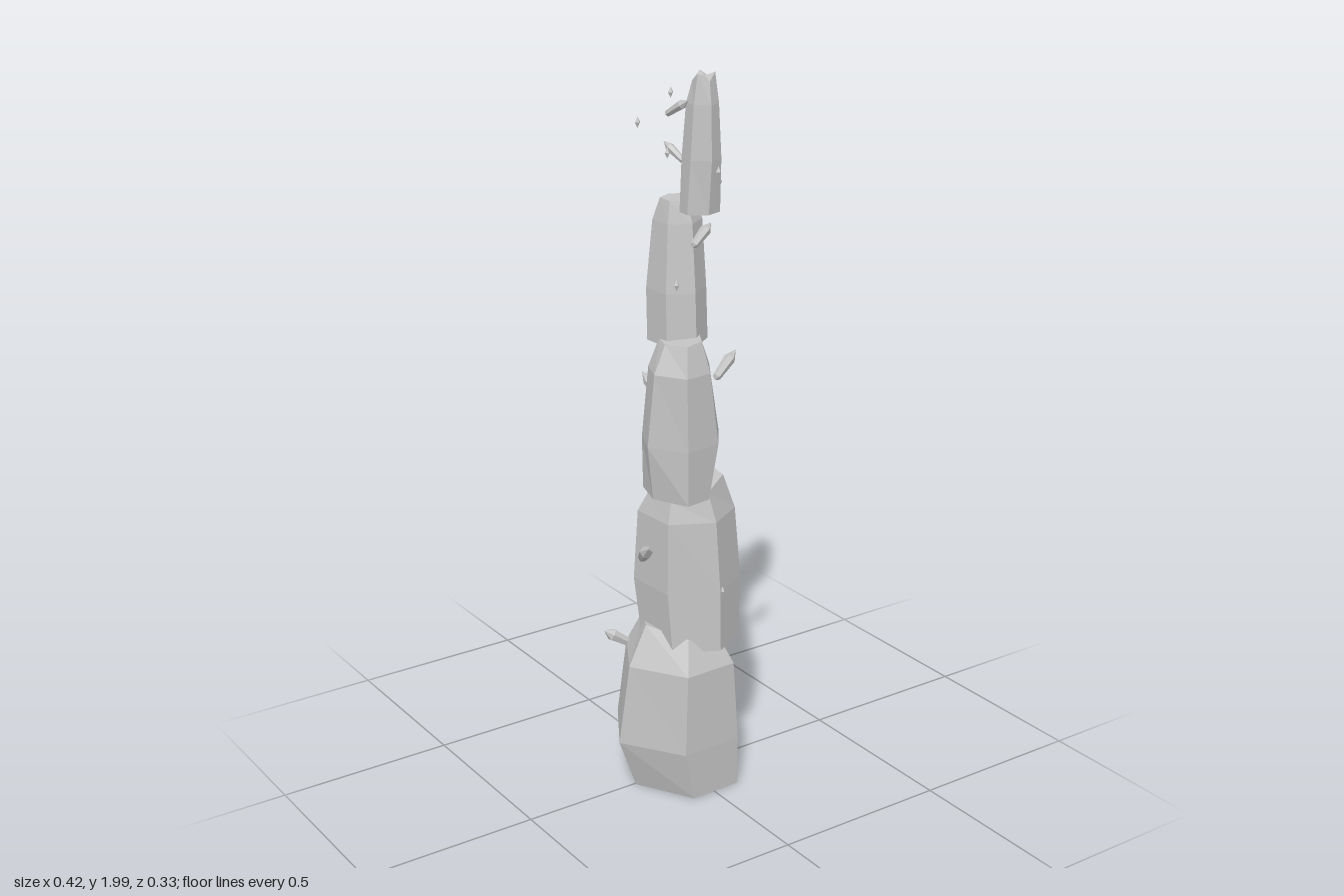
import * as THREE from 'three';

const stone = new THREE.MeshStandardMaterial({ color: 0xc2c2c2, flatShading: true });
stone.name = 'grey stone';

// Faceted rock: one outline of [x, z] corners, refitted at each level to
// [y, xMin, xMax, zMin, zMax]; the top level is tilted by slopeX and slopeZ,
// and every other top corner is lowered by dip.
function rock(name, outline, levels, { slopeX = 0, slopeZ = 0, dip = 0 } = {}) {
  const xs = outline.map((p) => p[0]), zs = outline.map((p) => p[1]);
  const fit = (v, list, lo, hi) => {
    const min = Math.min(...list), max = Math.max(...list);
    return lo + ((v - min) / (max - min)) * (hi - lo);
  };
  const n = outline.length, pos = [], index = [];
  levels.forEach(([y, x0, x1, z0, z1], k) => {
    const top = k === levels.length - 1;
    const cx = (x0 + x1) / 2, cz = (z0 + z1) / 2;
    outline.forEach(([px, pz], i) => {
      const x = fit(px, xs, x0, x1), z = fit(pz, zs, z0, z1);
      const lift = top ? slopeX * (x - cx) + slopeZ * (z - cz) - (i % 2 ? 0 : dip) : 0;
      pos.push(x, y + lift, z);
    });
    if (top) pos.push(cx, y - dip / 2, cz);
  });
  // Sides
  for (let k = 0; k < levels.length - 1; k++) {
    for (let i = 0; i < n; i++) {
      const j = (i + 1) % n;
      const a = k * n + i, b = k * n + j, c = b + n, d = a + n;
      index.push(a, d, c, a, c, b);
    }
  }
  // Caps: flat underneath, a fan round the centre on top
  const t = (levels.length - 1) * n;
  for (let i = 1; i < n - 1; i++) index.push(0, i, i + 1);
  for (let i = 0; i < n; i++) index.push(t + n, t + ((i + 1) % n), t + i);
  const indexed = new THREE.BufferGeometry();
  indexed.setAttribute('position', new THREE.Float32BufferAttribute(pos, 3));
  indexed.setIndex(index);
  const geo = indexed.toNonIndexed();
  geo.computeVertexNormals();
  const mesh = new THREE.Mesh(geo, stone);
  mesh.name = name;
  return mesh;
}

// Six-sided splinter pointing from one end to the other
function splinter(from, to, radius) {
  const a = new THREE.Vector3(...from), b = new THREE.Vector3(...to);
  const dir = b.clone().sub(a), len = dir.length();
  const profile = [[0, -0.5], [0.7, -0.42], [1, 0.2], [0, 0.5]]
    .map(([r, y]) => new THREE.Vector2(r * radius, y * len));
  const geo = new THREE.LatheGeometry(profile, 6).toNonIndexed();
  geo.computeVertexNormals();
  const mesh = new THREE.Mesh(geo, stone);
  mesh.position.copy(a).add(b).multiplyScalar(0.5);
  mesh.quaternion.setFromUnitVectors(new THREE.Vector3(0, 1, 0), dir.normalize());
  mesh.name = 'splinter';
  return mesh;
}

export function createModel() {
  const model = new THREE.Group();
  model.name = 'rockSpire';

  // Stacked rocks, from the ground up
  model.add(
    rock('baseRock',
      [[0.15, 0], [0.08, 0.16], [-0.1, 0.165], [-0.21, 0], [-0.11, -0.165], [0.07, -0.14]],
      [[0.005, -0.16, 0.14, -0.155, 0.163], [0.15, -0.21, 0.15, -0.165, 0.165],
        [0.38, -0.18, 0.13, -0.14, 0.155], [0.455, -0.12, 0.1, -0.11, 0.11]],
      { slopeX: -0.3 }),
    rock('secondRock',
      [[0.165, -0.08], [0.15, 0.075], [0.03, 0.148], [-0.1, 0.08], [-0.11, -0.075], [0.04, -0.15]],
      [[0.43, -0.1, 0.148, -0.12, 0.15], [0.6, -0.108, 0.162, -0.15, 0.142],
        [0.8, -0.098, 0.147, -0.135, 0.125], [0.88, -0.08, 0.11, -0.095, 0.1]],
      { slopeX: 0.25 }),
    rock('thirdRock',
      [[0.1, 0.03], [0.04, 0.115], [-0.065, 0.127], [-0.13, 0.03], [-0.09, -0.06], [0.04, -0.07]],
      [[0.87, -0.115, 0.05, -0.07, 0.13], [1.02, -0.132, 0.098, -0.065, 0.128],
        [1.22, -0.113, 0.062, -0.045, 0.118], [1.3, -0.075, 0.035, -0.03, 0.09]],
      { slopeX: 0.1 }),
    rock('fourthRock',
      [[0.08, 0], [0.01, 0.05], [-0.06, 0.01], [-0.065, -0.08], [0, -0.115], [0.08, -0.08]],
      [[1.28, -0.062, 0.08, -0.105, 0.052], [1.42, -0.058, 0.082, -0.115, 0.042],
        [1.6, -0.038, 0.08, -0.107, 0.015], [1.66, -0.025, 0.06, -0.08, -0.005]],
      { slopeZ: -0.08 }),
    rock('topRock',
      [[0.08, 0.03], [0.065, 0.08], [0.02, 0.097], [-0.025, 0.065], [-0.02, 0.02], [0.04, 0]],
      [[1.64, -0.028, 0.08, 0.004, 0.095], [1.78, -0.02, 0.078, 0, 0.102],
        [1.92, -0.01, 0.07, 0.01, 0.095], [1.998, 0.003, 0.058, 0.025, 0.085]],
      { slopeX: 0.06, dip: 0.02 }),
  );

  // Splinters sticking out of the rocks
  const splinters = [
    [[0.14, 0.16, 0.03], [0.21, 0.235, -0.07], 0.018],
    [[-0.105, 0.67, -0.04], [-0.147, 0.74, 0.055], 0.018],
    [[0.065, 1.18, 0.06], [0.155, 1.24, 0.03], 0.016],
    [[-0.01, 1.09, -0.075], [-0.02, 1.16, -0.162], 0.015],
    [[-0.025, 1.56, 0.085], [0.05, 1.61, 0.06], 0.015],
    [[-0.05, 1.89, 0], [-0.028, 1.935, 0.07], 0.013],
    [[0.025, 1.755, -0.025], [0.008, 1.8, -0.095], 0.012],
    [[-0.09, 0.375, -0.12], [-0.165, 0.425, -0.145], 0.018],
  ];
  for (const s of splinters) model.add(splinter(...s));

  // Small chips: five floating round the top, three on the rock faces
  const chipGeo = new THREE.OctahedronGeometry(1);
  const chips = [
    [-0.092, 1.865, -0.065], [-0.092, 1.81, 0.07], [0.115, 1.697, 0.005],
    [0.035, 1.753, 0.113], [0.037, 1.922, -0.105],
    [0.075, 1.86, 0.03], [-0.04, 1.45, 0.035], [0.04, 0.6, 0.137],
  ];
  for (const p of chips) {
    const chip = new THREE.Mesh(chipGeo, stone);
    chip.name = 'chip';
    chip.position.set(...p);
    chip.scale.set(0.008, 0.015, 0.008);
    model.add(chip);
  }
  return model;
}
